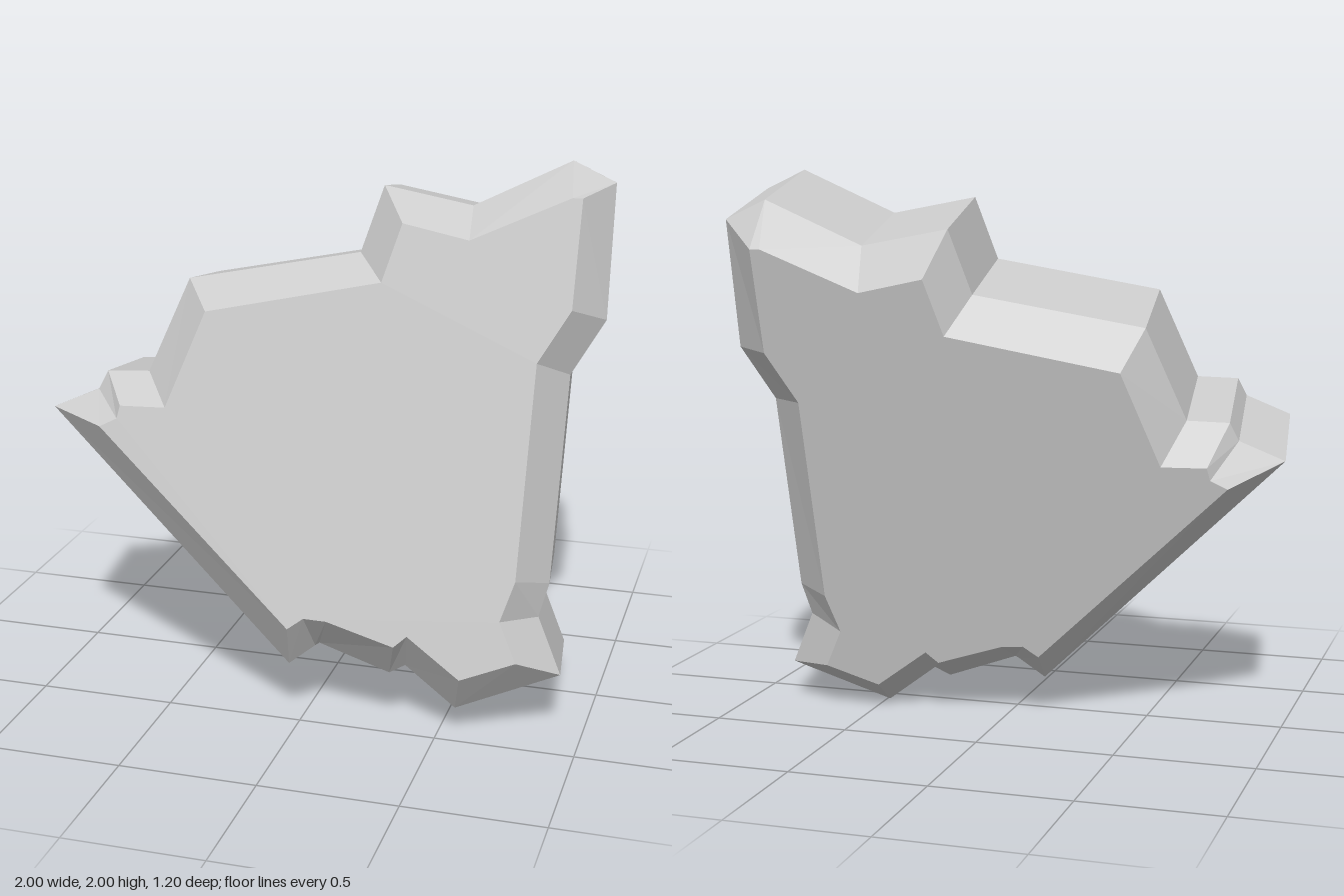
import * as THREE from 'three';

// Clockwise outline of the slab: [outer x, outer y, inner x, inner y]
const OUTLINE = [
  // right edge
  [0.84, 2.0, 0.865, 1.9],
  [0.99, 1.93, 0.9, 1.9],
  [0.99, 1.47, 0.89, 1.53],
  [0.88, 1.28, 0.785, 1.35],
  [0.86, 0.56, 0.765, 0.61],
  [0.83, 0.44, 0.72, 0.47],
  [0.92, 0.24, 0.785, 0.33],
  // bottom edge with notch
  [0.56, 0.1, 0.595, 0.26],
  [0.375, 0.24, 0.405, 0.4],
  [0.32, 0.21, 0.36, 0.36],
  [0.065, 0.3, 0.12, 0.435],
  [0.05, 0.29, 0.04, 0.44],
  [-0.04, 0.22, -0.015, 0.4],
  // left tip
  [-0.94, 1.09, -0.72, 1.07],
  [-0.78, 1.16, -0.66, 1.1],
  [-0.75, 1.225, -0.65, 1.145],
  // stepped top edge
  [-0.6, 1.23, -0.49, 1.145],
  [-0.47, 1.56, -0.365, 1.48],
  [0.13, 1.67, 0.24, 1.6],
  [0.2, 1.9, 0.3, 1.8],
  [0.51, 1.84, 0.53, 1.75],
];

export function createModel() {
  const outline = [...OUTLINE].reverse(); // counter-clockwise from the front

  // Tilted planes of the rim and the front face
  const outer = outline.map(([x, y]) => new THREE.Vector3(x, y, 0.537 - 0.133 * x - 0.212 * y));
  const inner = outline.map(([, , x, y]) => new THREE.Vector3(x, y, 0.685 - 0.133 * x - 0.22 * y));
  const shift = (ring, x, y, z) => ring.map((p) => p.clone().add(new THREE.Vector3(x, y, z)));

  // Rings from front face to back face
  const rings = [inner, outer, shift(outer, -0.07, -0.1, -0.51), shift(inner, -0.11, -0.17, -0.75)];
  const points = [];

  // Front chamfer, side wall and back chamfer
  const n = outline.length;
  for (let r = 0; r < 3; r++) {
    for (let i = 0; i < n; i++) {
      const j = (i + 1) % n;
      const a = rings[r][i], b = rings[r][j];
      const c = rings[r + 1][i], d = rings[r + 1][j];
      points.push(a, c, b, b, c, d);
    }
  }

  // Front and back faces
  const contour = inner.map((p) => new THREE.Vector2(p.x, p.y));
  for (const [a, b, c] of THREE.ShapeUtils.triangulateShape(contour, [])) {
    points.push(rings[0][a], rings[0][b], rings[0][c]);
    points.push(rings[3][a], rings[3][c], rings[3][b]);
  }

  const geometry = new THREE.BufferGeometry().setFromPoints(points);
  geometry.computeVertexNormals();

  const rock = new THREE.Mesh(
    geometry,
    new THREE.MeshStandardMaterial({ color: 0xcccccc, flatShading: true })
  );
  rock.name = 'rockShard';

  const model = new THREE.Group();
  model.name = 'brokenRockSlab';
  model.add(rock);
  return model;
}
